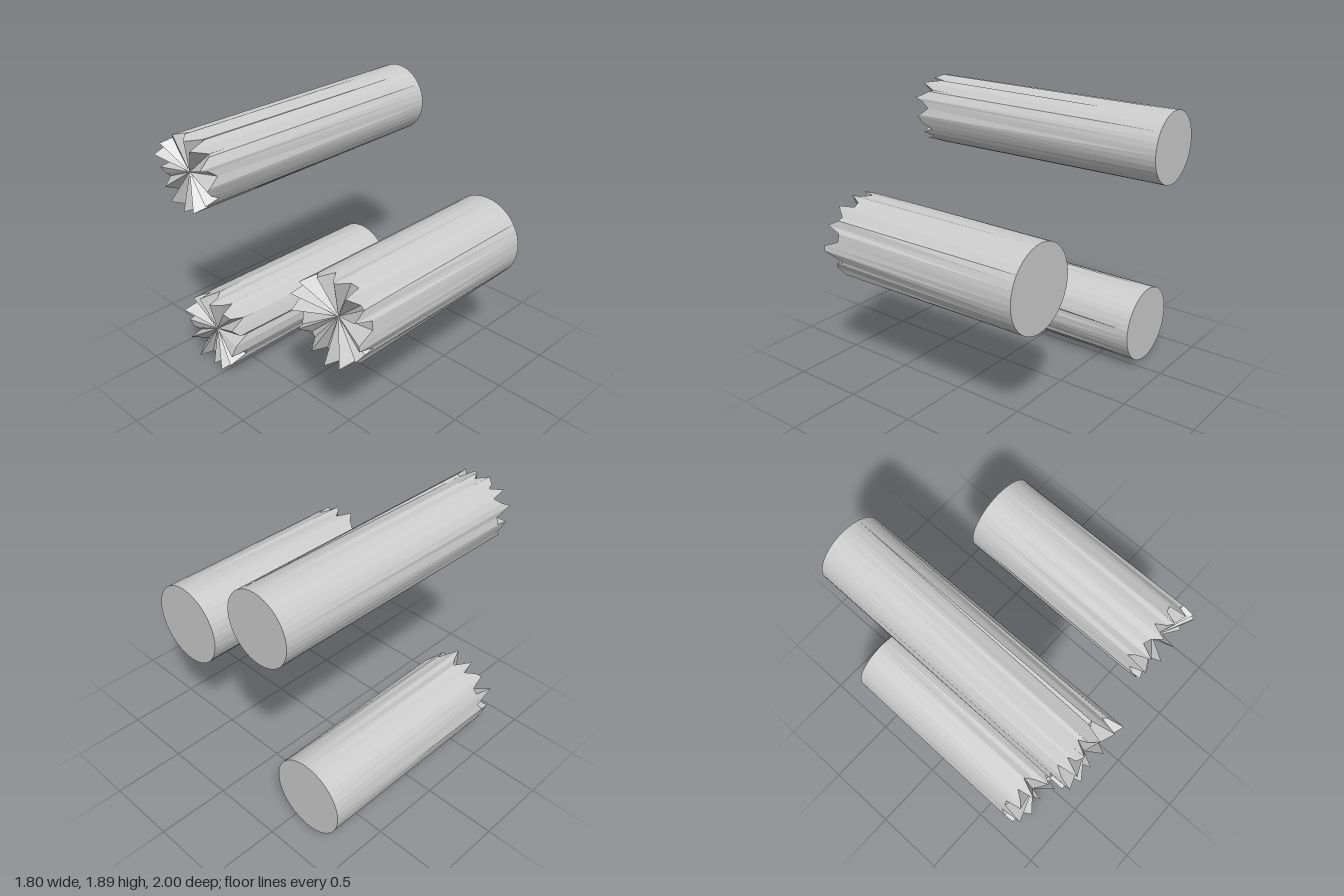
import * as THREE from 'three';

const SIDES = 40;

// Small seeded generator for the splintered ends
function seeded(seed) {
  let s = seed;
  return () => {
    s = (s * 16807) % 2147483647;
    return s / 2147483647;
  };
}

// Log lying along z: clean round cut at the back, splintered rim at the front
function brokenLog({ radius, back, low, high, core, seed }) {
  const rnd = seeded(seed);
  const backRing = [], frontRing = [];
  for (let i = 0; i < SIDES; i++) {
    const a = (i / SIDES) * Math.PI * 2;
    backRing.push([radius * Math.cos(a), radius * Math.sin(a), back]);
    const b = a + (rnd() - 0.5) * 0.12;
    const r = radius * (0.97 + rnd() * 0.07);
    // every third point or so is a tall splinter
    const t = i % 3 === 0 ? 0.65 + 0.35 * rnd() : 0.6 * rnd();
    frontRing.push([r * Math.cos(b), r * Math.sin(b), low + (high - low) * t]);
  }
  frontRing[3 * Math.floor(SIDES / 6)][2] = high;

  const pos = [];
  const tri = (...pts) => pts.forEach((p) => pos.push(...p));
  const heart = [-0.005, 0, core], pith = [0, 0, back];
  for (let i = 0; i < SIDES; i++) {
    const j = (i + 1) % SIDES;
    tri(backRing[i], backRing[j], frontRing[j]); // bark
    tri(backRing[i], frontRing[j], frontRing[i]);
    tri(heart, frontRing[i], frontRing[j]); // broken face
    tri(pith, backRing[j], backRing[i]); // clean cut
  }
  const geometry = new THREE.BufferGeometry();
  geometry.setAttribute('position', new THREE.Float32BufferAttribute(pos, 3));
  geometry.computeVertexNormals();
  return geometry;
}

export function createModel() {
  const group = new THREE.Group();
  group.name = 'brokenLogs';
  const material = new THREE.MeshStandardMaterial({
    color: 0xcccccc, flatShading: true, side: THREE.DoubleSide,
  });
  const logs = [
    { name: 'upperLog', x: -0.465, y: 1.636, radius: 0.242, back: -1, low: 0.85, high: 1, core: 0.91, seed: 1207 },
    { name: 'middleLog', x: 0.593, y: 0.966, radius: 0.29, back: -0.73, low: 0.65, high: 0.82, core: 0.68, seed: 48271 },
    { name: 'lowerLog', x: -0.63, y: 0.279, radius: 0.27, back: -0.8, low: 0.62, high: 0.79, core: 0.69, seed: 90533 },
  ];
  for (const log of logs) {
    const mesh = new THREE.Mesh(brokenLog(log), material);
    mesh.name = log.name;
    mesh.position.set(log.x, log.y, 0);
    group.add(mesh);
  }
  return group;
}
